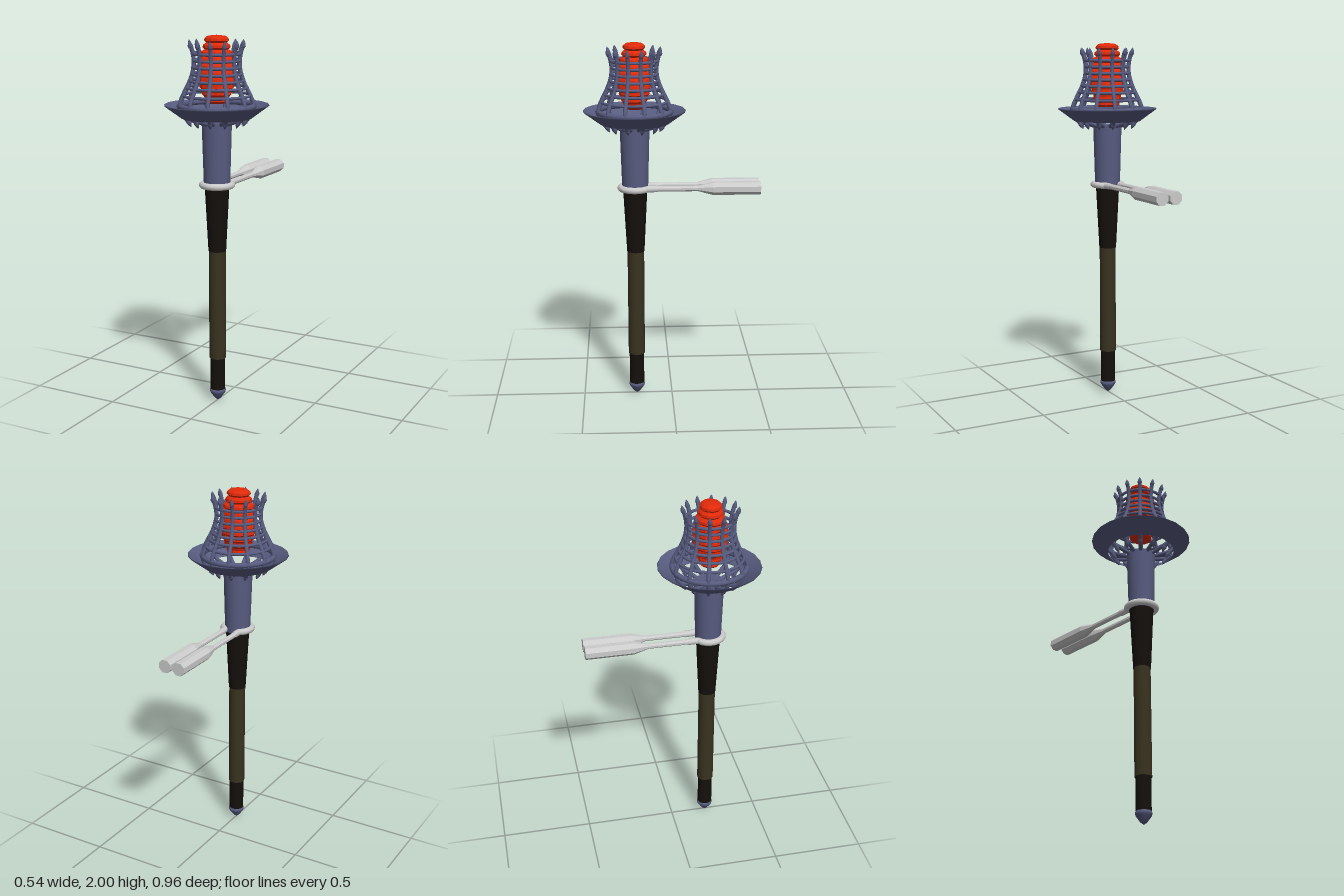
import * as THREE from 'three';

const mat = (color, extra = {}) => new THREE.MeshStandardMaterial({ color, ...extra });
const V2 = (pts) => pts.map(([r, y]) => new THREE.Vector2(r, y));

export function createModel() {
  const root = new THREE.Group();
  const torch = new THREE.Group();
  torch.name = 'torch';
  torch.position.z = 0.2;
  root.add(torch);

  const steel = mat(0x585c80);
  const steelThin = mat(0x585c80, { side: THREE.DoubleSide });
  const black = mat(0x14100c);
  const olive = mat(0x38321f);
  const red = mat(0xe02a0a, { flatShading: true });
  const grey = mat(0xcccccc);
  const greyFlat = mat(0xcccccc, { flatShading: true });

  const add = (parent, name, geometry, material) => {
    const mesh = new THREE.Mesh(geometry, material);
    mesh.name = name;
    parent.add(mesh);
    return mesh;
  };
  const shaft = (name, y0, y1, r0, r1, material) => {
    const g = new THREE.CylinderGeometry(r1, r0, y1 - y0, 20);
    g.translate(0, (y0 + y1) / 2, 0);
    return add(torch, name, g, material);
  };

  // Handle, from the foot to the collar
  add(torch, 'footTip', new THREE.LatheGeometry(
    V2([[0, 0], [0.018, 0.014], [0.042, 0.048], [0.045, 0.06], [0.04, 0.072], [0, 0.072]]), 20), steel);
  shaft('lowerShaft', 0.065, 0.26, 0.041, 0.041, black);
  shaft('grip', 0.25, 0.86, 0.046, 0.046, olive);
  shaft('upperShaft', 0.855, 1.21, 0.048, 0.066, black);
  shaft('collar', 1.2, 1.55, 0.07, 0.08, steel);

  // Thin sloping dish with an open middle
  add(torch, 'dish', new THREE.LatheGeometry(
    V2([[0.185, 1.572], [0.275, 1.638], [0.272, 1.643], [0.185, 1.58], [0.185, 1.572]]), 22), steelThin);

  // Basket: twelve bars with a spoke and pointed ends, tied by hoops
  const barProfile = new THREE.CatmullRomCurve3([
    [0.155, 1.56], [0.19, 1.605], [0.197, 1.645], [0.175, 1.70], [0.145, 1.76],
    [0.126, 1.82], [0.122, 1.87], [0.13, 1.92], [0.138, 1.945],
  ].map(([r, y]) => new THREE.Vector3(r, y, 0)));
  const barGeo = new THREE.TubeGeometry(barProfile, 28, 0.011, 8);
  const spokeGeo = new THREE.TubeGeometry(new THREE.LineCurve3(
    new THREE.Vector3(0.06, 1.54, 0), new THREE.Vector3(0.17, 1.575, 0)), 1, 0.011, 8);
  const spikeGeo = new THREE.LatheGeometry(
    V2([[0, -0.012], [0.009, -0.008], [0.013, 0.004], [0.007, 0.022], [0, 0.034]]), 8);
  const basket = new THREE.Group();
  basket.name = 'basket';
  torch.add(basket);
  for (let i = 0; i < 12; i++) {
    const rib = new THREE.Group();
    rib.name = 'rib';
    rib.rotation.y = ((i + 0.5) / 12) * Math.PI * 2;
    add(rib, 'bar', barGeo, steel);
    add(rib, 'spoke', spokeGeo, steel);
    const top = add(rib, 'topSpike', spikeGeo, steel);
    top.position.set(0.14, 1.942, 0);
    top.rotation.z = -0.2;
    const bottom = add(rib, 'bottomSpike', spikeGeo, steel);
    bottom.position.set(0.153, 1.558, 0);
    bottom.rotation.z = Math.PI - 0.5;
    basket.add(rib);
  }
  const hoops = [[1.635, 0.195, 0.015], [1.69, 0.178, 0.008], [1.73, 0.159, 0.008], [1.765, 0.143, 0.008],
    [1.80, 0.131, 0.008], [1.835, 0.124, 0.008], [1.87, 0.122, 0.008], [1.905, 0.127, 0.008]];
  for (const [y, r, tube] of hoops) {
    const hoop = add(basket, 'hoop', new THREE.TorusGeometry(r, tube, 8, 36), steel);
    hoop.rotation.x = Math.PI / 2;
    hoop.position.y = y;
  }

  // Flame: stacked ridges, widest at mid height and slightly oval
  const flamePts = [[0, 1.65]];
  const ridges = 10;
  for (let i = 0; i < ridges; i++) {
    const t = i / (ridges - 1);
    const y = 1.665 + t * 0.31;
    const r = 0.062 + 0.036 * Math.sin(Math.PI * Math.min(1, t * 1.05));
    flamePts.push([r - 0.01, y - 0.014], [r, y - 0.004], [r - 0.002, y + 0.008]);
  }
  flamePts.push([0.045, 1.995], [0, 2]);
  const flame = add(torch, 'flame', new THREE.LatheGeometry(V2(flamePts), 12), red);
  flame.scale.set(1.06, 1, 0.96);

  // Wall bracket: an open ring whose ends run back into two faceted mounts
  const bracket = new THREE.Group();
  bracket.name = 'bracket';
  bracket.position.y = 1.216;
  torch.add(bracket);
  const path = [new THREE.Vector3(-0.044, 0, -0.12)];
  const gap = 0.62;
  for (let i = 0; i <= 20; i++) {
    const a = -Math.PI + gap + (i / 20) * 2 * (Math.PI - gap);
    path.push(new THREE.Vector3(Math.sin(a) * 0.078, 0, Math.cos(a) * 0.078));
  }
  path.push(new THREE.Vector3(0.038, 0, -0.12));
  add(bracket, 'bracketRing', new THREE.TubeGeometry(new THREE.CatmullRomCurve3(path), 64, 0.018, 10), grey);

  const mountGeo = new THREE.LatheGeometry(
    V2([[0, 0.08], [0.015, 0.08], [0.015, 0.34], [0.037, 0.42], [0.037, 0.68], [0, 0.68]]), 8);
  mountGeo.rotateY(Math.PI / 8);
  mountGeo.rotateX(-Math.PI / 2);
  for (const x of [-0.044, 0.038]) {
    add(bracket, 'wallMount', mountGeo, greyFlat).position.x = x;
  }

  return root;
}
